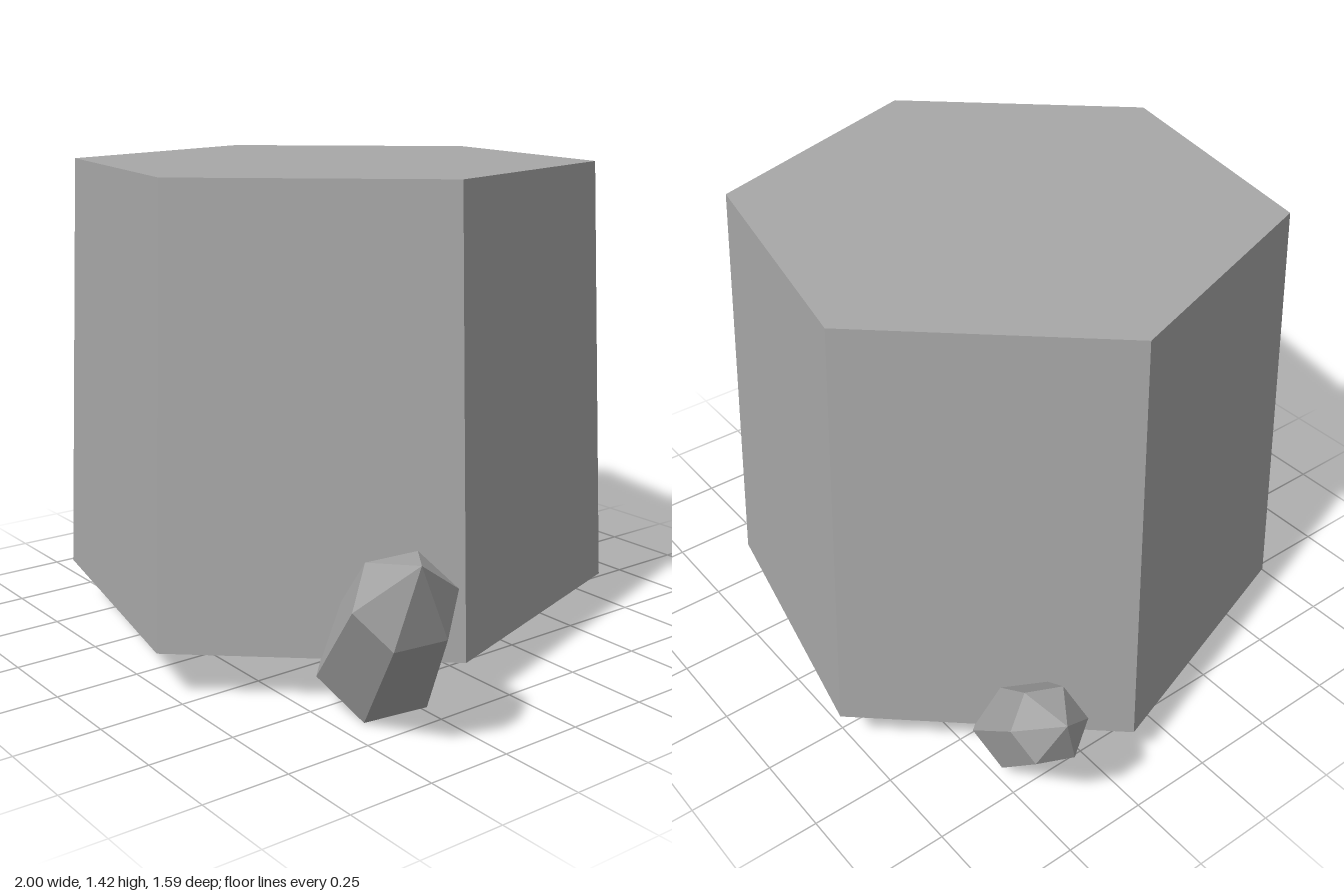
import * as THREE from 'three';

const stone = new THREE.MeshStandardMaterial({ color: 0xa8a8a8, flatShading: true });
stone.name = 'grey stone';

// Six-sided crystal: tapered shaft and pointed tip, running from base to tip.
// side is the direction from the axis to one of its long edges.
function makeCrystal(name, base, tip, side, baseRadius, shoulderRadius) {
  const start = new THREE.Vector3(...base);
  const axis = new THREE.Vector3(...tip).sub(start);
  const length = axis.length();
  axis.normalize();

  const profile = [
    [0, 0],
    [baseRadius, 0],
    [shoulderRadius, length * 0.667],
    [0, length],
  ].map(([r, y]) => new THREE.Vector2(r, y));
  const crystal = new THREE.Mesh(new THREE.LatheGeometry(profile, 6), stone);
  crystal.name = name;

  const z = new THREE.Vector3(...side).projectOnPlane(axis).normalize();
  const x = new THREE.Vector3().crossVectors(axis, z);
  crystal.quaternion.setFromRotationMatrix(new THREE.Matrix4().makeBasis(x, axis, z));
  crystal.position.copy(start);
  return crystal;
}

export function createModel() {
  const model = new THREE.Group();
  model.name = 'crystalRock';

  // Main hexagonal column, slightly narrower at the top
  const column = new THREE.Mesh(
    new THREE.CylinderGeometry(0.777, 0.838, 1.28, 6, 1, false, THREE.MathUtils.degToRad(18.2)),
    stone
  );
  column.name = 'column';
  column.position.set(-0.063, 0.8, 0);
  model.add(column);

  // Small crystals leaning out from the foot of the column
  model.add(makeCrystal('largeSideCrystal', [0.57, 0.14, 0.32], [1.0, 0.585, 0.54], [-0.06, -0.02, 0.16], 0.178, 0.14));
  model.add(makeCrystal('smallSideCrystal', [-0.64, 0.14, -0.395], [-1.0, 0.525, -0.53], [-0.045, -0.01, 0.12], 0.135, 0.107));

  return model;
}
